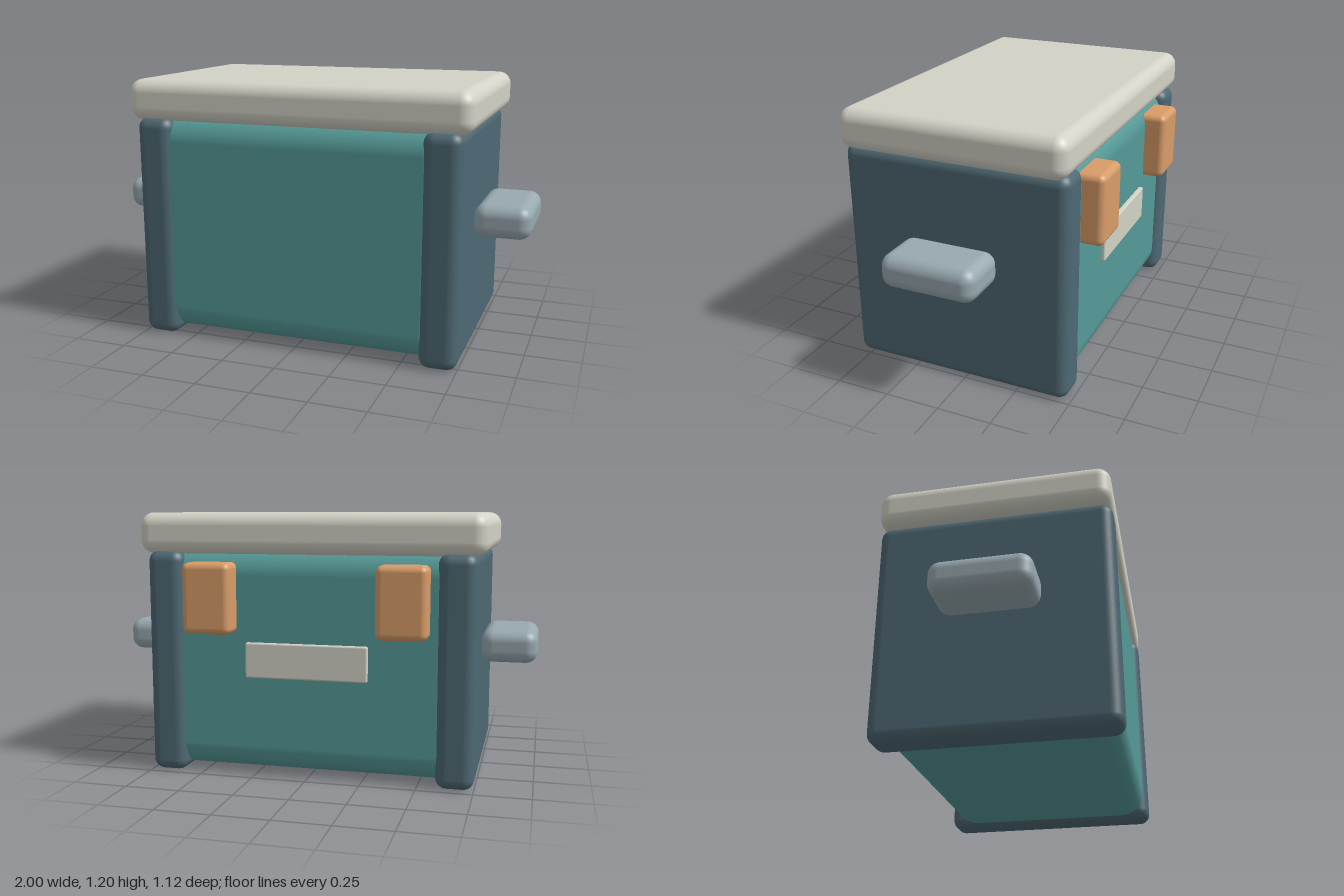
import * as THREE from 'three';
import { RoundedBoxGeometry } from 'three/addons/geometries/RoundedBoxGeometry.js';

function material(name, color) {
  const m = new THREE.MeshStandardMaterial({ color });
  m.name = name;
  return m;
}

export function createModel() {
  const group = new THREE.Group();
  group.name = 'coolBox';

  const cream = material('cream', 0xd2d2c6);
  const teal = material('teal', 0x559a98);
  const slate = material('slate', 0x4e6873);
  const grey = material('paleGrey', 0x98a9b0);
  const tan = material('tan', 0xd89c68);

  // Rounded box given by its [min, max] range on each axis
  function block(name, mat, x, y, z, radius) {
    const geo = new RoundedBoxGeometry(x[1] - x[0], y[1] - y[0], z[1] - z[0], 5, radius);
    const mesh = new THREE.Mesh(geo, mat);
    mesh.name = name;
    mesh.position.set((x[0] + x[1]) / 2, (y[0] + y[1]) / 2, (z[0] + z[1]) / 2);
    group.add(mesh);
    return mesh;
  }

  // Main tub and its lid
  block('body', teal, [-0.7, 0.7], [0.02, 1.04], [-0.46, 0.54], 0.12);
  block('lid', cream, [-0.79, 0.79], [1.015, 1.2], [-0.485, 0.56], 0.06);

  // End panels, carrying handles and rear clasps on both sides
  for (const [side, s] of [['left', 1], ['right', -1]]) {
    const span = (a, b) => (s > 0 ? [a, b] : [-b, -a]);
    block(side + 'EndPanel', slate, span(0.58, 0.75), [0, 1.03], [-0.485, 0.56], 0.05);
    block(side + 'Handle', grey, span(0.745, 1), [0.52, 0.67], [-0.18, 0.255], 0.055);
    block(side + 'Clasp', tan, span(0.325, 0.55), [0.66, 0.98], [-0.56, -0.42], 0.03);
  }

  // Blank plate on the back
  block('backPlate', cream, [-0.28, 0.28], [0.46, 0.62], [-0.48, -0.45], 0.008);

  return group;
}
